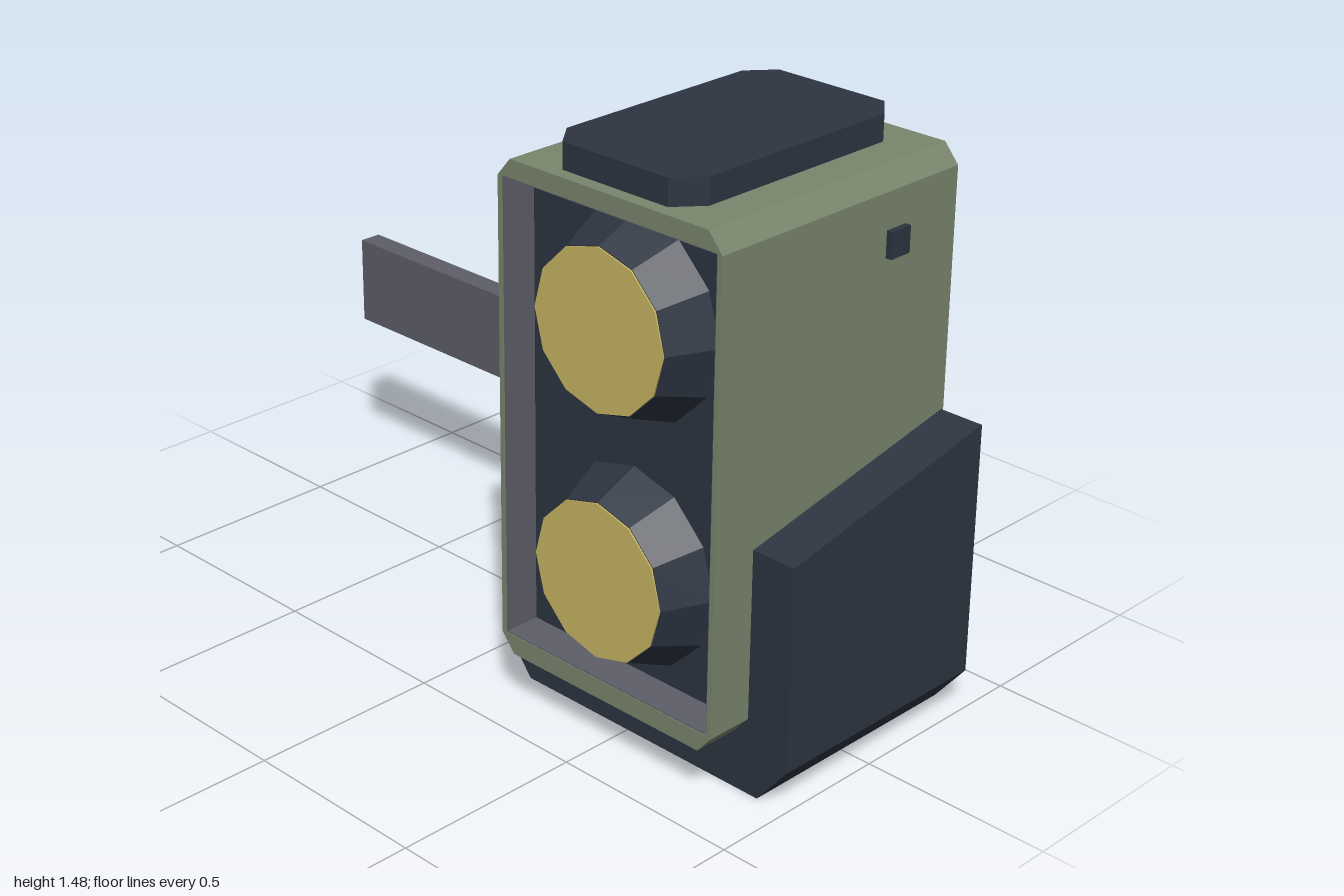
import * as THREE from 'three';

const mat = (name, color) => {
  const m = new THREE.MeshStandardMaterial({ color });
  m.name = name;
  return m;
};

// Closed outline of a rectangle with its four corners cut by (cx, cy)
function cutRect(x0, x1, y0, y1, cx = 0, cy = cx) {
  if (!cx) return [[x0, y0], [x1, y0], [x1, y1], [x0, y1]];
  return [[x0 + cx, y0], [x1 - cx, y0], [x1, y0 + cy], [x1, y1 - cy],
    [x1 - cx, y1], [x0 + cx, y1], [x0, y1 - cy], [x0, y0 + cy]];
}

const toPoints = (pts) => pts.map(([x, y]) => new THREE.Vector2(x, y));

// Straight prism from z0 to z1, optionally with a hole
function prism(outline, z0, z1, hole) {
  const shape = new THREE.Shape(toPoints(outline));
  if (hole) shape.holes.push(new THREE.Path(toPoints(hole)));
  const g = new THREE.ExtrudeGeometry(shape, { depth: z1 - z0, bevelEnabled: false });
  return g.translate(0, 0, z0);
}

// Move every vertex by a rule and refresh the flat normals
function reshape(g, rule) {
  const p = g.attributes.position;
  const v = new THREE.Vector3();
  for (let i = 0; i < p.count; i++) {
    rule(v.fromBufferAttribute(p, i));
    p.setXYZ(i, v.x, v.y, v.z);
  }
  g.computeVertexNormals();
  return g;
}

export function createModel() {
  const green = mat('olive green', 0x7a866d);
  const dark = mat('dark slate', 0x2d3541);
  const grey = mat('grey metal', 0x5d5e68);
  const yellow = mat('lens yellow', 0xc8b562);

  const model = new THREE.Group();
  model.name = 'lampUnit';
  const add = (name, geometry, material, parent = model) => {
    const mesh = new THREE.Mesh(geometry, material);
    mesh.name = name;
    parent.add(mesh);
    return mesh;
  };

  const CX = 0.54, CY = 0.78;       // centre of the housing
  const FLOOR = 0.32, FRONT = 0.42; // recess floor and front rim

  // Housing: body, framed front and tapered back
  const housing = new THREE.Group();
  housing.name = 'housing';
  model.add(housing);
  const outline = cutRect(0.2, 0.88, 0.15, 1.41, 0.04, 0.047);
  const opening = cutRect(0.214, 0.866, 0.2, 1.365);
  add('housingBody', prism(outline, -0.36, FLOOR), green, housing);
  add('frontFrame', prism(outline, FLOOR, FRONT, opening), green, housing);
  add('taperedBack', reshape(prism(outline, -0.44, -0.36), (v) => {
    if (v.z < -0.4) {
      v.x = CX + (v.x - CX) * 0.8;
      v.y = CY + (v.y - CY) * 0.8;
    }
  }), green, housing);

  // Recess lining and face panel
  add('recessLining', prism(opening, FLOOR, FRONT - 0.002, cutRect(0.217, 0.863, 0.203, 1.362)), grey, housing);
  add('facePanel', prism(opening, FLOOR - 0.002, FLOOR + 0.004), dark, housing);

  // Two twelve-sided lamps
  for (const [name, y] of [['upper', 1.095], ['lower', 0.475]]) {
    const lamp = new THREE.Group();
    lamp.name = name + 'Lamp';
    lamp.position.set(CX, y, 0);
    model.add(lamp);
    const rim = new THREE.CylinderGeometry(0.2, 0.253, 0.12, 12).toNonIndexed();
    rim.computeVertexNormals();
    add('lampRim', rim.rotateX(Math.PI / 2).translate(0, 0, 0.38), dark, lamp);
    add('lampLens', new THREE.CylinderGeometry(0.198, 0.198, 0.004, 12)
      .rotateX(Math.PI / 2).translate(0, 0, 0.442), yellow, lamp);
  }

  // Top cap
  add('topCap', prism(cutRect(0.315, 0.745, -0.385, 0.325, 0.056, 0.068), 1.4, 1.476)
    .rotateX(-Math.PI / 2), dark);

  // Small studs on both sides
  for (const [name, side] of [['right', -1], ['left', 1]]) {
    add(name + 'Stud', new THREE.BoxGeometry(0.03, 0.066, 0.064), dark)
      .position.set(CX + side * 0.341, 1.239, -0.149);
  }

  // Cradle with cut lower corners and side walls rising to the back
  const cradle = [[0.166, 0], [0.914, 0], [1, 0.106], [1, 0.7], [0.08, 0.7], [0.08, 0.106]];
  add('cradle', reshape(prism(cradle, -0.352, 0.296), (v) => {
    if (v.y > 0.5) v.y = 0.63 + (0.296 - v.z) * 0.2;
  }), dark);

  // Side bar, flat at the front and ridged at the back
  const barSection = [[-0.182, 0.46], [-0.182, 0.695], [-0.242, 0.695], [-0.309, 0.578], [-0.242, 0.46]];
  add('sideBar', prism(barSection, 0, 1.12).rotateY(-Math.PI / 2).translate(0.12, 0, 0), grey);

  return model;
}
